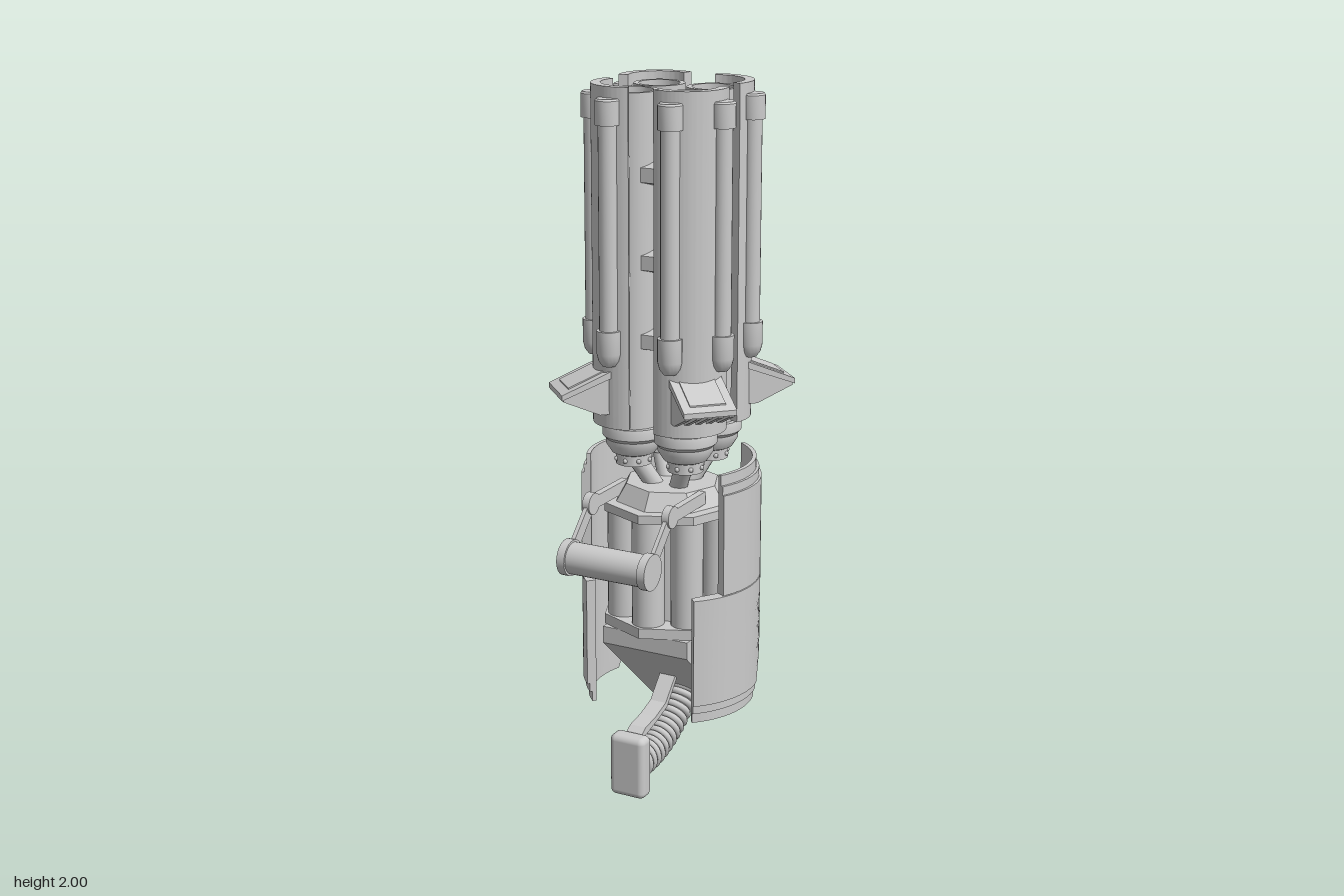
import * as THREE from 'three';
import { toCreasedNormals } from 'three/addons/utils/BufferGeometryUtils.js';
import { RoundedBoxGeometry } from 'three/addons/geometries/RoundedBoxGeometry.js';

const CZ = -0.065; // z of the weapon's long axis
const mat = new THREE.MeshStandardMaterial({ color: 0xcccccc, side: THREE.DoubleSide });
const rad = THREE.MathUtils.degToRad;

function add(parent, name, geo, x = 0, y = 0, z = 0) {
  const m = new THREE.Mesh(geo, mat);
  m.name = name;
  m.position.set(x, y, z);
  parent.add(m);
  return m;
}
const cyl = (rTop, rBot, y0, y1, n = 28) => new THREE.CylinderGeometry(rTop, rBot, y1 - y0, n).translate(0, (y0 + y1) / 2, 0);
const lathe = (pts, n = 32) => toCreasedNormals(new THREE.LatheGeometry(pts.map(p => new THREE.Vector2(...p)), n), 0.6);

// cylinder running from point a to point b
function strut(parent, name, a, b, r, n = 12) {
  const d = b.clone().sub(a);
  const m = add(parent, name, new THREE.CylinderGeometry(r, r, d.length(), n));
  m.position.copy(a).addScaledVector(d, 0.5);
  m.quaternion.setFromUnitVectors(new THREE.Vector3(0, 1, 0), d.normalize());
  return m;
}

// side profile of [z, y] points, extruded across x
function sideProfile(pts, width) {
  const s = new THREE.Shape(pts.map(([z, y]) => new THREE.Vector2(-z, y)));
  return new THREE.ExtrudeGeometry(s, { depth: width, bevelEnabled: false })
    .translate(0, 0, -width / 2).rotateY(Math.PI / 2);
}

// one barrel with jacket, rods and fin; local +x points outward
function barrelUnit() {
  const g = new THREE.Group();
  g.name = 'barrelUnit';
  add(g, 'barrel', lathe([[0, 1.75], [0.057, 1.75], [0.057, 1.98], [0.071, 1.98], [0.071, 1.03]]));
  add(g, 'barrelCollar', lathe([[0, 1.05], [0.085, 1.05], [0.088, 1.04], [0.088, 1.02], [0.078, 1.01],
    [0.078, 0.995], [0.062, 0.97], [0.05, 0.965], [0.05, 0.935], [0, 0.935]]));

  // curved outer jacket
  const a = rad(68), s = new THREE.Shape();
  s.absarc(0, 0, 0.113, -a, a, false);
  s.absarc(0, 0, 0.086, a, -a, true);
  const jacket = new THREE.ExtrudeGeometry(s, { depth: 0.94, bevelEnabled: false, curveSegments: 24 }).rotateX(-Math.PI / 2);
  add(g, 'jacket', toCreasedNormals(jacket, 0.5), 0, 1.06, 0);

  // two rods with end caps
  for (const side of [-1, 1]) {
    const t = rad(39) * side, x = 0.116 * Math.cos(t), z = 0.116 * Math.sin(t);
    add(g, 'rod', cyl(0.026, 0.026, 1.3, 1.94, 20), x, 0, z);
    add(g, 'rodTopCap', lathe([[0, 1.9], [0.034, 1.9], [0.034, 1.965], [0.03, 1.97], [0, 1.97]], 20), x, 0, z);
    add(g, 'rodFoot', lathe([[0, 1.235], [0.018, 1.24], [0.029, 1.255], [0.034, 1.275], [0.034, 1.34], [0, 1.34]], 20), x, 0, z);
  }

  // sloping fin with a raised panel and ribs below
  const slab = (pts, w) => {
    const sh = new THREE.Shape(pts.map(p => new THREE.Vector2(...p)));
    return new THREE.ExtrudeGeometry(sh, { depth: w, bevelEnabled: false }).translate(0, 0, -w / 2);
  };
  add(g, 'finPlate', slab([[0.08, 1.205], [0.224, 1.15], [0.224, 1.165], [0.08, 1.225]], 0.148));
  add(g, 'finPanel', slab([[0.08, 1.215], [0.2, 1.165], [0.2, 1.179], [0.08, 1.229]], 0.1));
  for (let i = -2; i <= 2; i++)
    add(g, 'finRib', slab([[0.08, 1.1], [0.115, 1.1], [0.218, 1.145], [0.218, 1.155], [0.08, 1.208]], 0.014), 0, 0, i * 0.031);

  // bolts around the barrel base
  for (let i = 0; i < 8; i++) {
    const t = i * Math.PI / 4;
    add(g, 'baseBolt', new THREE.SphereGeometry(0.007, 8, 6), 0.05 * Math.cos(t), 0.95, 0.05 * Math.sin(t));
  }
  return g;
}

// curved armour plate: a box bent around the axis; inset shrinks the outline
function armourPlate(side, r0, r1, inset) {
  const y0 = 0.23 + inset, y1 = 0.95 - inset;
  const ys = [y0, 0.3, 0.36, 0.42, 0.48, 0.55, 0.6, 0.603, 0.75, y1];
  const geo = new THREE.BoxGeometry(1, 1, 1, 20, ys.length - 1, 1);
  const p = geo.attributes.position;
  for (let i = 0; i < p.count; i++) {
    const y = ys[Math.round((p.getY(i) + 0.5) * (ys.length - 1))];
    const front = Math.asin((y < 0.602 ? 0.185 : 0.115) / 0.25);
    const backDz = -0.08 - 0.13 * Math.min(1, (y - 0.23) / 0.32);
    const back = Math.asin(backDz / 0.25) + inset * 4;
    const phi = THREE.MathUtils.lerp(front, back, 0.5 + side * p.getX(i));
    const r = p.getZ(i) > 0 ? r1 : r0;
    p.setXYZ(i, side * r * Math.cos(phi), y, r * Math.sin(phi));
  }
  geo.computeVertexNormals();
  return toCreasedNormals(geo, 0.5);
}

export function createModel() {
  const root = new THREE.Group();
  root.name = 'multiBarrelWeapon';
  const V = (x, y, z) => new THREE.Vector3(x, y, z);

  // four barrels and their support struts
  for (const sx of [-1, 1]) for (const sz of [-1, 1]) {
    const u = barrelUnit();
    u.position.set(0.082 * sx, 0, CZ + 0.076 * sz);
    u.rotation.y = -Math.atan2(sz, sx);
    root.add(u);
    strut(root, 'barrelStrut', V(0.03 * sx, 0.85, CZ + 0.03 * sz), V(0.08 * sx, 0.955, CZ + 0.075 * sz), 0.026);
  }

  // wedge brackets bridging neighbouring barrels
  for (let k = 0; k < 4; k++) {
    const g = new THREE.Group();
    g.name = 'barrelBrackets';
    g.position.z = CZ;
    g.rotation.y = k * Math.PI / 2;
    for (const y of [1.3, 1.52, 1.76])
      add(g, 'bracket', sideProfile([[0.06, y - 0.04], [0.125, y - 0.02], [0.125, y + 0.02], [0.06, y + 0.04]], 0.075));
    root.add(g);
  }

  // core: octagonal plates, ring of canisters and hub
  const core = new THREE.Group();
  core.name = 'core';
  core.position.z = CZ;
  root.add(core);
  const flat = geo => toCreasedNormals(geo, 0.3);
  add(core, 'lowerPlate', flat(cyl(0.2, 0.2, 0.46, 0.49, 8)));
  add(core, 'upperPlate', flat(cyl(0.2, 0.2, 0.8, 0.825, 8)));
  add(core, 'hub', flat(cyl(0.135, 0.165, 0.825, 0.875, 8)));
  add(core, 'coreColumn', cyl(0.12, 0.12, 0.49, 0.8));
  for (let i = 0; i < 8; i++) {
    const t = i * Math.PI / 4;
    add(core, 'canister', cyl(0.046, 0.046, 0.49, 0.8, 24), 0.143 * Math.cos(t), 0, 0.143 * Math.sin(t));
  }

  // wedge housing under the core
  add(root, 'lowerHousing', sideProfile([[-0.2, 0.14], [0.1, 0.41], [0.1, 0.46], [-0.2, 0.46]], 0.27));

  // layered armour on both sides
  for (const side of [-1, 1]) {
    const g = new THREE.Group();
    g.name = side > 0 ? 'leftArmour' : 'rightArmour';
    g.position.z = -0.06;
    add(g, 'armourBase', armourPlate(side, 0.228, 0.24, 0));
    add(g, 'armourMiddle', armourPlate(side, 0.238, 0.248, 0.03));
    add(g, 'armourOuter', armourPlate(side, 0.246, 0.255, 0.055));
    root.add(g);
  }

  // front carry handle
  const handle = new THREE.Group();
  handle.name = 'handle';
  root.add(handle);
  add(handle, 'grip', new THREE.CylinderGeometry(0.045, 0.045, 0.24, 28).rotateZ(Math.PI / 2), 0, 0.735, 0.3);
  for (const s of [-1, 1]) {
    add(handle, 'gripCap', new THREE.CylinderGeometry(0.051, 0.051, 0.024, 28).rotateZ(Math.PI / 2), 0.124 * s, 0.735, 0.3);
    const x = 0.124 * s;
    add(handle, 'armPivot', new THREE.CylinderGeometry(0.031, 0.031, 0.022, 20).rotateZ(Math.PI / 2), x, 0.855, 0.18);
    add(handle, 'upperArm', new THREE.BoxGeometry(0.02, 0.036, 0.19), x, 0.856, 0.085);
    const lower = add(handle, 'lowerArm', new THREE.BoxGeometry(0.012, 0.036, 0.17), x, 0.795, 0.24);
    lower.rotation.x = Math.PI / 4;
  }

  // ribbed hose, end block and guard strap
  const path = new THREE.CatmullRomCurve3([V(0, 0.085, 0.165), V(0, 0.097, 0.06), V(0, 0.135, -0.04), V(0, 0.195, -0.12), V(0, 0.27, -0.17)]);
  add(root, 'hose', new THREE.TubeGeometry(path, 40, 0.04, 20));
  for (let i = 0; i < 18; i++) {
    const t = i / 17;
    const ring = add(root, 'hoseRing', new THREE.TorusGeometry(0.041, 0.01, 8, 24));
    ring.position.copy(path.getPointAt(t));
    ring.lookAt(ring.position.clone().add(path.getTangentAt(t)));
  }
  add(root, 'hoseEndBlock', new RoundedBoxGeometry(0.11, 0.185, 0.055, 4, 0.018), 0, 0.0945, 0.185);
  add(root, 'guardStrap', sideProfile([[0.14, 0.195], [0.08, 0.205], [0.02, 0.225], [-0.04, 0.29], [-0.05, 0.28],
    [0.01, 0.21], [0.07, 0.19], [0.165, 0.165], [0.165, 0.18]], 0.05));
  return root;
}
